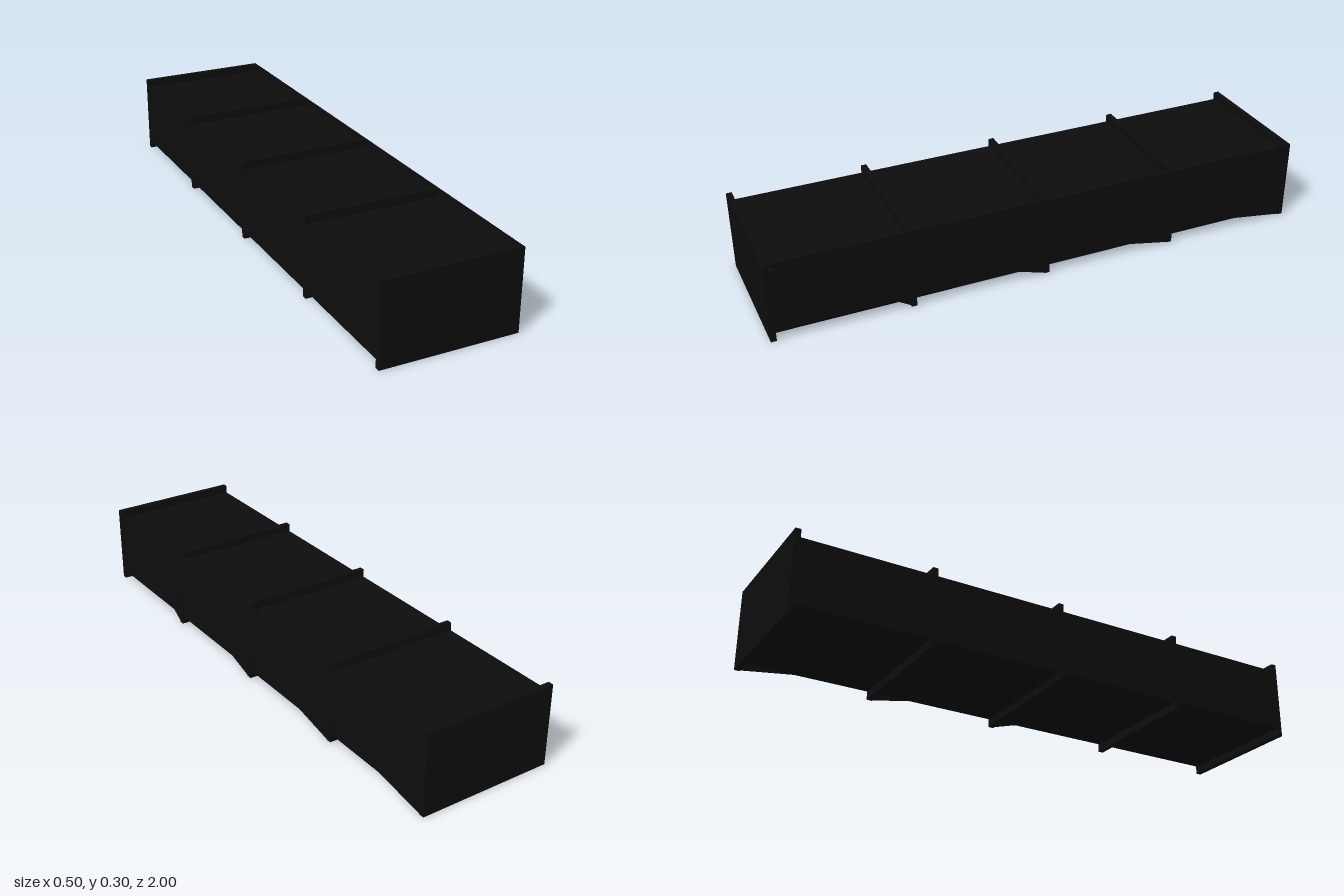
import * as THREE from 'three';

export function createModel() {
  const group = new THREE.Group();
  const black = new THREE.MeshStandardMaterial({ color: 0x0d0d0d });
  black.name = 'black';

  const add = (name, geometry, x = 0, y = 0, z = 0) => {
    const mesh = new THREE.Mesh(geometry, black);
    mesh.name = name;
    mesh.position.set(x, y, z);
    group.add(mesh);
  };

  // long core, recessed above and below the cross plates
  add('core', new THREE.BoxGeometry(0.496, 0.24, 1.98), -0.002, 0.15, 0);

  // five cross plates, the outer two closing the ends
  const plate = 0.02;
  for (const z of [-0.99, -0.5, 0, 0.5, 0.99]) {
    add('crossPlate', new THREE.BoxGeometry(0.5, 0.3, plate), 0, 0.15, z);
  }

  // thin side web: a fan of braces from the front top corner to the foot of each plate
  for (const z of [0.5, 0, -0.5, -1]) {
    const back = Math.max(z - plate / 2, -1);
    const web = new THREE.Shape([
      new THREE.Vector2(-1, 0.3),
      new THREE.Vector2(-z, 0),
      new THREE.Vector2(-back + 0.0001, 0),
      new THREE.Vector2(-back + 0.0001, 0.3),
    ]);
    const geometry = new THREE.ExtrudeGeometry(web, { depth: 0.004, bevelEnabled: false });
    geometry.rotateY(Math.PI / 2);
    add('sideBrace', geometry, 0.246, 0, 0);
  }

  return group;
}
